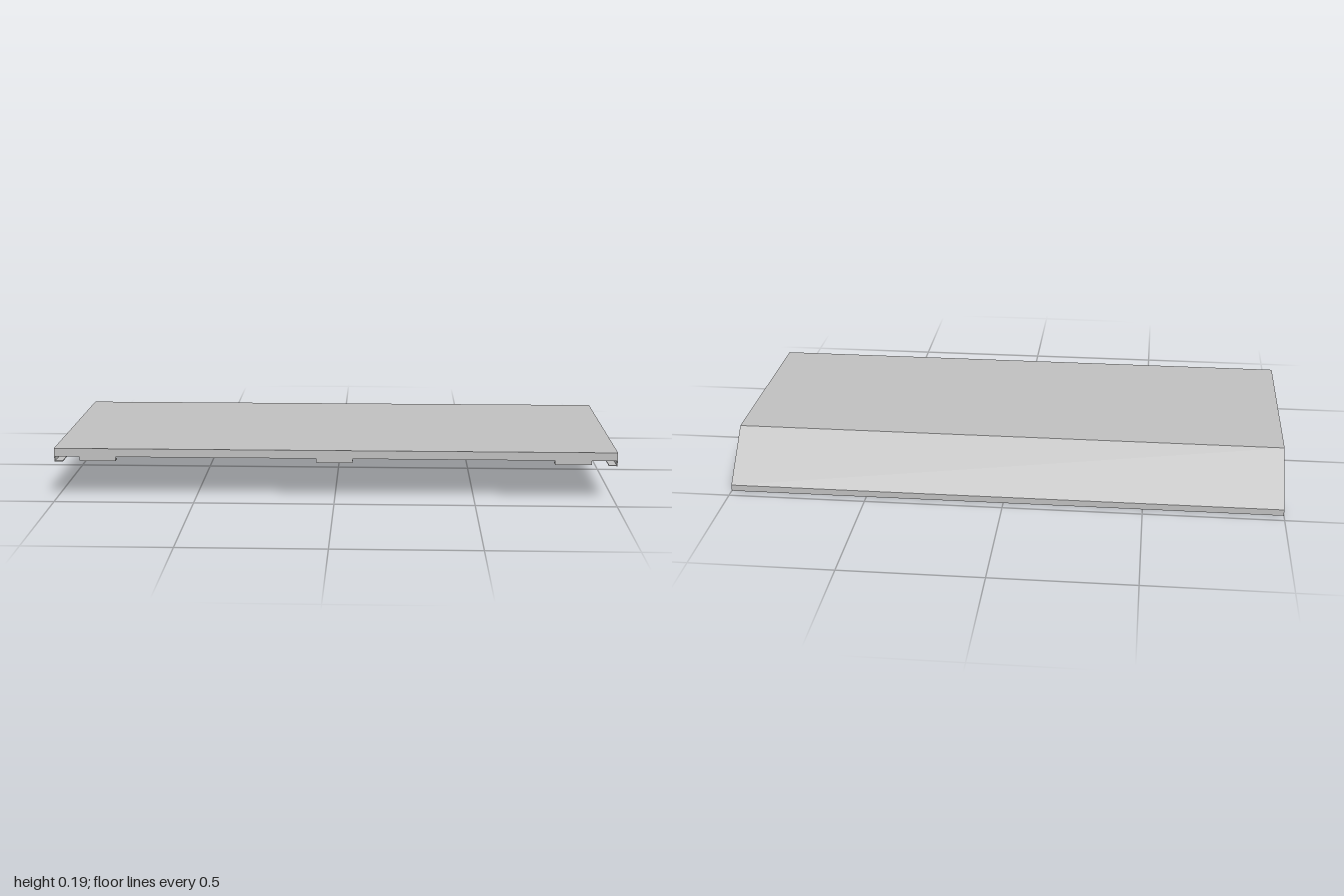
import * as THREE from 'three';

const T = 0.003; // sheet thickness
const TOP = 0.187, FRONT = 0.463, BEND = -0.295;

export function createModel() {
  const group = new THREE.Group();
  group.name = 'sheetMetalCover';
  const metal = new THREE.MeshStandardMaterial({ color: 0xc0c0c0 });
  metal.name = 'light grey sheet metal';

  // Thin box given by its limits on each axis
  const plate = (name, [x0, x1], [y0, y1], [z0, z1]) => {
    const mesh = new THREE.Mesh(new THREE.BoxGeometry(x1 - x0, y1 - y0, z1 - z0), metal);
    mesh.position.set((x0 + x1) / 2, (y0 + y1) / 2, (z0 + z1) / 2);
    mesh.name = name;
    group.add(mesh);
  };

  // Folded sheet: flat top, sloped back, short upright strip and bottom return
  const profile = [
    [FRONT, TOP], [BEND, TOP], [-FRONT, 0.023], [-FRONT, 0], [-0.435, 0], [-0.435, T],
    [-FRONT + T, T], [-FRONT + T, 0.022], [BEND + 0.001, TOP - T], [FRONT, TOP - T],
  ];
  const shape = new THREE.Shape(profile.map(([z, y]) => new THREE.Vector2(z, y)));
  const sheet = new THREE.ExtrudeGeometry(shape, { depth: 2, bevelEnabled: false });
  sheet.rotateY(-Math.PI / 2).translate(1, 0, 0);
  const folded = new THREE.Mesh(sheet, metal);
  folded.name = 'topPanelAndSlopedBack';
  group.add(folded);

  // Front flange
  plate('frontFlange', [-1 + T, 1 - T], [0.157, TOP - T], [FRONT - T, FRONT]);

  // Three hooked tabs under the front flange
  for (const x of [-0.845, 0, 0.845]) {
    plate('frontTab', [x - 0.065, x + 0.065], [0.142, 0.157], [FRONT - T, FRONT]);
    plate('frontTabReturn', [x - 0.065, x + 0.065], [0.142, 0.142 + T], [FRONT - 0.03, FRONT - T]);
  }

  // Side flanges with inward returns
  for (const s of [-1, 1]) {
    const span = (a, b) => [Math.min(s * a, s * b), Math.max(s * a, s * b)];
    plate('sideFlange', span(1 - T, 1), [0.138, TOP - T], [BEND, FRONT]);
    plate('sideReturn', span(0.97, 1 - T), [0.138, 0.138 + T], [BEND, FRONT - T]);
  }
  return group;
}
